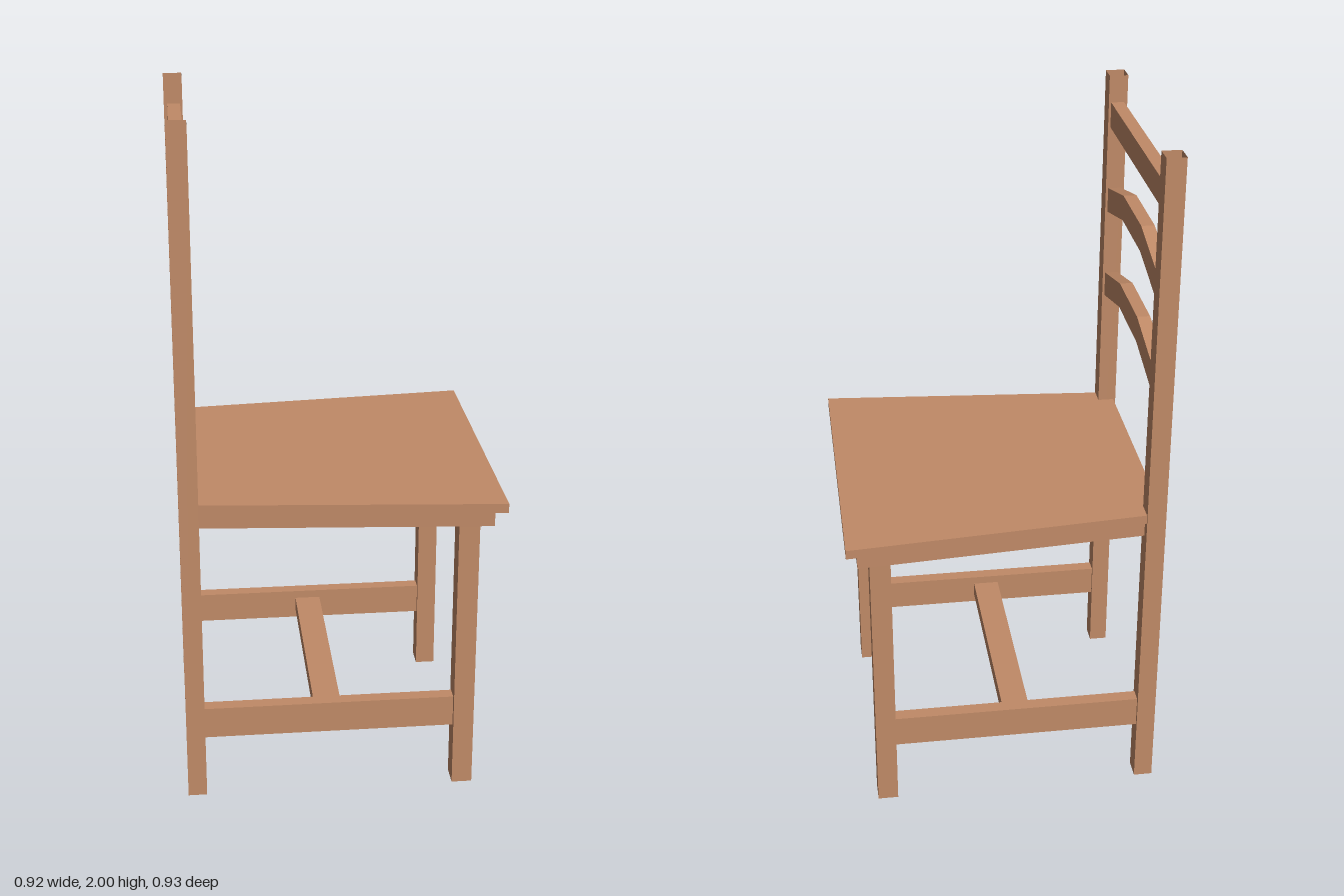
import * as THREE from 'three';

const wood = new THREE.MeshStandardMaterial({ color: 0xc08a67 });
wood.name = 'wood';
wood.side = THREE.DoubleSide; // the back posts are open at the top

export function createModel() {
  const chair = new THREE.Group();
  chair.name = 'chair';

  const add = (name, geometry) => {
    const mesh = new THREE.Mesh(geometry, wood);
    mesh.name = name;
    chair.add(mesh);
    return mesh;
  };

  // Box given by its limits on each axis
  const boxGeometry = ([x0, x1], [y0, y1], [z0, z1]) =>
    new THREE.BoxGeometry(x1 - x0, y1 - y0, z1 - z0)
      .translate((x0 + x1) / 2, (y0 + y1) / 2, (z0 + z1) / 2);

  // Slab tapering in z from the back edge to the front edge
  const taperedSlab = (x0, x1, y0, y1, backHalf, frontHalf) => {
    const geometry = boxGeometry([x0, x1], [y0, y1], [-1, 1]);
    const p = geometry.attributes.position;
    for (let i = 0; i < p.count; i++) {
      const t = (p.getX(i) - x0) / (x1 - x0);
      p.setZ(i, p.getZ(i) * THREE.MathUtils.lerp(backHalf, frontHalf, t));
    }
    geometry.computeVertexNormals();
    return geometry;
  };

  // Seat board and the apron below it
  add('seat', taperedSlab(-0.453, 0.457, 0.91, 0.937, 0.385, 0.463));
  add('apron', taperedSlab(-0.44, 0.425, 0.857, 0.91, 0.365, 0.433));

  // Posts, front legs and side rails, mirrored across z
  for (const [side, s] of [['Left', -1], ['Right', 1]]) {
    const span = (a, b) => (s > 0 ? [a, b] : [-b, -a]);

    const post = boxGeometry([-0.46, -0.405], [0, 2], span(0.336, 0.395));
    const index = Array.from(post.index.array);
    index.splice(12, 6); // leave out the top face
    post.setIndex(index);
    post.clearGroups();
    add('backPost' + side, post);

    add('frontLeg' + side, boxGeometry([0.33, 0.39], [0, 0.857], span(0.333, 0.4)));
    add('sideRail' + side, boxGeometry([-0.405, 0.33], [0.19, 0.285], span(0.345, 0.385)));
  }

  // Stretcher joining the side rails
  add('stretcher', boxGeometry([-0.08, 0], [0.215, 0.26], [-0.36, 0.36]));

  // Straight top rail of the backrest
  add('topRail', boxGeometry([-0.45, -0.412], [1.845, 1.92], [-0.378, 0.378]));

  // Arched slats: bent profile in z and y, extruded along x
  const archedSlat = (top) => {
    const high = top, low = top - 0.066, h = 0.075;
    const shape = new THREE.Shape([
      [-0.378, low - h], [-0.12, high - h], [0.12, high - h], [0.378, low - h],
      [0.378, low], [0.12, high], [-0.12, high], [-0.378, low],
    ].map(([z, y]) => new THREE.Vector2(z, y)));
    return new THREE.ExtrudeGeometry(shape, { depth: 0.038, bevelEnabled: false })
      .rotateY(Math.PI / 2).translate(-0.45, 0, 0);
  };
  add('middleSlat', archedSlat(1.71));
  add('lowerSlat', archedSlat(1.435));

  return chair;
}
